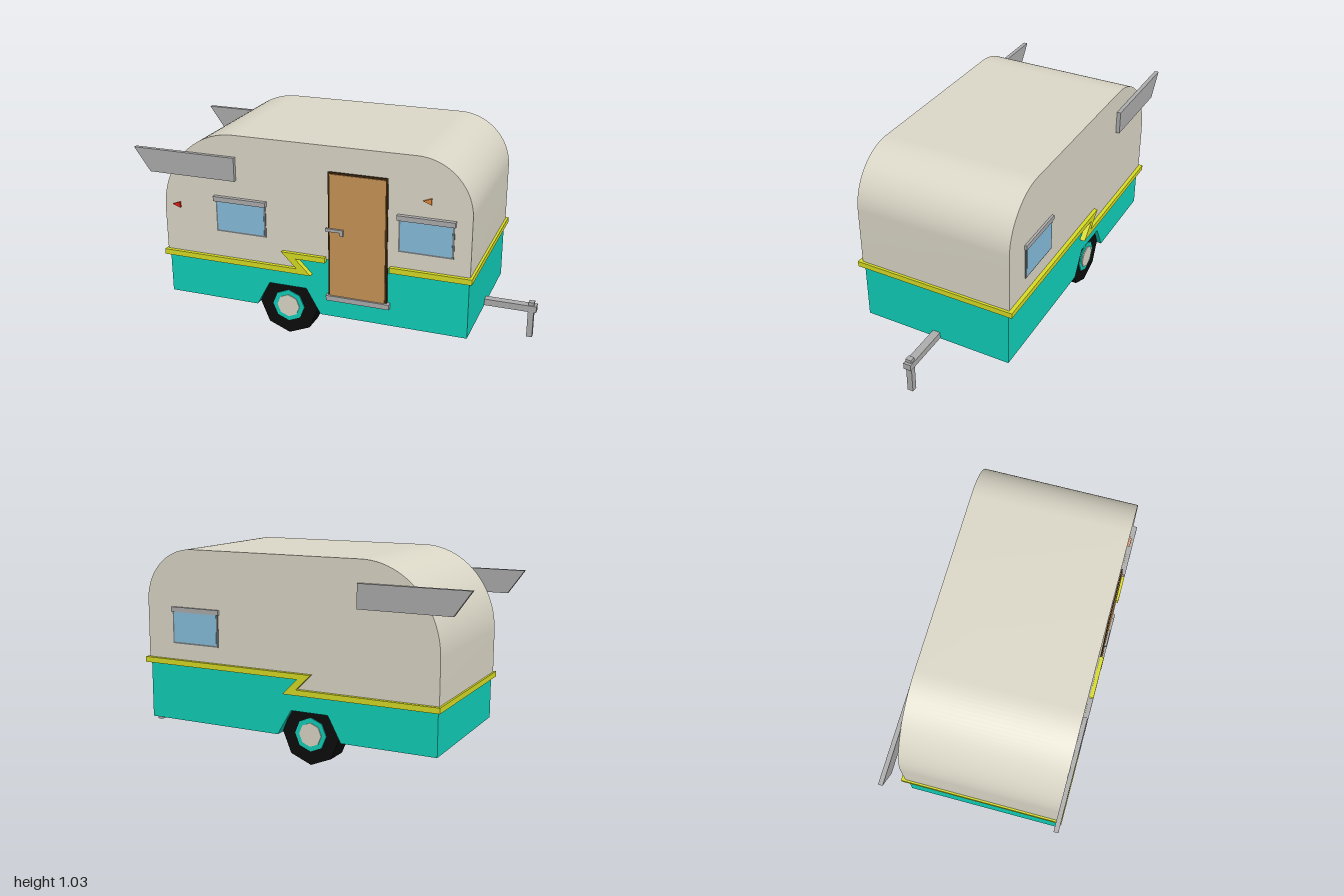
import * as THREE from 'three';
import { toCreasedNormals } from 'three/addons/utils/BufferGeometryUtils.js';

const mat = (color) => new THREE.MeshStandardMaterial({ color });

export function createModel() {
  const model = new THREE.Group();
  const cream = mat(0xdcd8c8), teal = mat(0x10d0ba), yellow = mat(0xd8dc24);
  const metal = mat(0xadadad), black = mat(0x0c0c0c), wood = mat(0xc99556);
  const darkWood = mat(0x3a250c), glass = mat(0x87bedd), grey = mat(0x777b7e);
  const red = mat(0xe02010), orange = mat(0xe08a3c);

  const add = (name, geo, material, parent = model) => {
    const mesh = new THREE.Mesh(geo, material);
    mesh.name = name;
    parent.add(mesh);
    return mesh;
  };
  // Box given by its limits on each axis
  const box = (name, material, x0, x1, y0, y1, z0, z1) => {
    const geo = new THREE.BoxGeometry(x1 - x0, y1 - y0, z1 - z0);
    geo.translate((x0 + x1) / 2, (y0 + y1) / 2, (z0 + z1) / 2);
    return add(name, geo, material);
  };
  const outline = (pts) => new THREE.Shape(pts.map(([x, y]) => new THREE.Vector2(x, y)));
  // Side profile extruded between two z values
  const slab = (name, material, shape, z0, z1) => {
    const geo = new THREE.ExtrudeGeometry(shape, { depth: z1 - z0, bevelEnabled: false, curveSegments: 16 });
    geo.translate(0, 0, z0);
    return add(name, toCreasedNormals(geo, 0.4), material);
  };

  // Upper shell: rounded roof, lower edge follows the zigzag
  const shell = new THREE.Shape();
  shell.moveTo(-0.855, 0.37);
  shell.lineTo(-0.1, 0.37);
  shell.lineTo(-0.175, 0.45);
  shell.lineTo(0.74, 0.45);
  shell.lineTo(0.74, 0.76);
  shell.absellipse(0.47, 0.76, 0.27, 0.27, 0, Math.PI / 2, false);
  shell.absellipse(-0.46, 0.6, 0.395, 0.43, Math.PI / 2, Math.PI, false);
  shell.closePath();
  slab('upperShell', cream, shell, -0.402, 0.402);

  // Lower body with a wheel tunnel across the underside
  slab('lowerBody', teal, outline([
    [-0.848, 0.14], [-0.36, 0.14], [-0.29, 0.27], [-0.09, 0.27], [-0.015, 0.14],
    [0.735, 0.14], [0.735, 0.45], [-0.175, 0.45], [-0.1, 0.37], [-0.848, 0.37],
  ]), -0.395, 0.394);

  // Trim band, broken by the door on one side only
  const zigzag = (endX) => outline([
    [-0.865, 0.355], [-0.056, 0.355], [-0.136, 0.435], [endX, 0.435],
    [endX, 0.463], [-0.21, 0.463], [-0.13, 0.383], [-0.865, 0.383],
  ]);
  slab('leftTrim', yellow, zigzag(0.02), 0.39, 0.422);
  box('leftTrimFront', yellow, 0.35, 0.753, 0.435, 0.463, 0.39, 0.422);
  slab('rightTrim', yellow, zigzag(0.753), -0.422, -0.39);
  box('noseTrim', yellow, 0.73, 0.753, 0.435, 0.463, -0.422, 0.422);
  box('rearTrim', yellow, -0.865, -0.84, 0.355, 0.383, -0.422, 0.422);

  // Tail fins
  const fin = outline([[-0.915, 0.8], [-0.45, 0.8], [-0.45, 0.92], [-1, 0.92]]);
  slab('leftFin', metal, fin, 0.4, 0.422);
  slab('rightFin', metal, fin, -0.422, -0.4);

  // Door with frame, step and handle
  box('doorFrame', darkWood, 0.035, 0.335, 0.25, 0.905, 0.38, 0.408);
  box('door', wood, 0.045, 0.325, 0.26, 0.895, 0.38, 0.412);
  box('doorStep', metal, 0.025, 0.35, 0.238, 0.264, 0.39, 0.422);
  box('handleBar', metal, 0.025, 0.115, 0.605, 0.62, 0.41, 0.422);
  box('handleDrop', metal, 0.1, 0.115, 0.588, 0.605, 0.41, 0.422);

  // Windows: frame, pane and a lip above; s is the side of the caravan
  const windowUnit = (name, x, y, s) => {
    const g = new THREE.Group();
    g.name = name;
    g.position.set(x, y, s * 0.402);
    const part = (n, m, w, h, d, dy) =>
      add(n, new THREE.BoxGeometry(w, h, d), m, g).position.set(0, dy, 0);
    part('frame', grey, 0.27, 0.18, 0.01, 0);
    part('pane', glass, 0.252, 0.162, 0.014, 0);
    part('lip', metal, 0.282, 0.025, s > 0 ? 0.044 : 0.024, 0.087);
    model.add(g);
  };
  windowUnit('rearLeftWindow', -0.43, 0.61, 1);
  windowUnit('frontLeftWindow', 0.523, 0.636, 1);
  windowUnit('frontRightWindow', 0.452, 0.636, -1);

  // Triangular marker lights
  const marker = (x, y) => outline([[x, y], [x + 0.042, y - 0.016], [x + 0.042, y + 0.016]]);
  slab('tailMarker', red, marker(-0.807, 0.635), 0.395, 0.412);
  slab('frontMarker', orange, marker(0.503, 0.818), 0.395, 0.412);

  // Octagonal wheels: tyre ring, hollow rim and hub plate
  const ring = (outer, inner, half) => {
    const pts = [[inner, -half], [outer, -half], [outer, half], [inner, half], [inner, -half]];
    const geo = new THREE.LatheGeometry(pts.map(([r, h]) => new THREE.Vector2(r, h)), 8);
    return toCreasedNormals(geo.rotateX(Math.PI / 2), 0.3);
  };
  for (const [name, z, s] of [['leftWheel', 0.323, 1], ['rightWheel', -0.314, -1]]) {
    const wheel = new THREE.Group();
    wheel.name = name;
    wheel.position.set(-0.19, 0.157, z);
    wheel.rotation.y = s > 0 ? 0 : Math.PI;
    add('tyre', ring(0.155, 0.08, 0.061), black, wheel);
    add('rim', ring(0.085, 0.058, 0.066), teal, wheel);
    const hub = new THREE.CylinderGeometry(0.06, 0.06, 0.006, 8).rotateX(Math.PI / 2);
    add('hub', hub, cream, wheel).position.z = 0.068;
    model.add(wheel);
  }

  // Tow bar and its stand
  box('towBar', metal, 0.73, 1, 0.142, 0.176, -0.02, 0.02);
  box('towStand', metal, 0.958, 0.987, 0, 0.193, -0.015, 0.015);

  return model;
}
